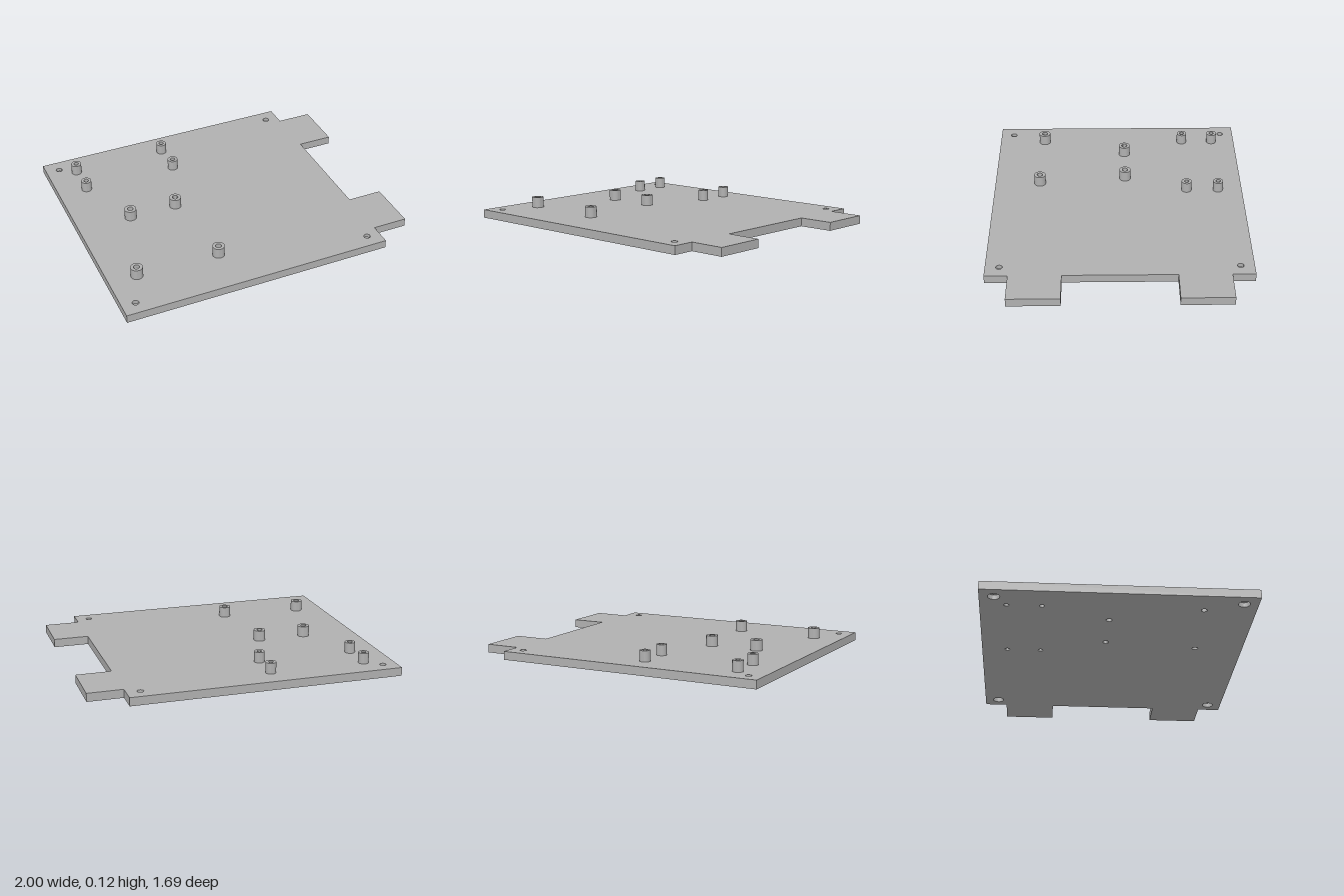
import * as THREE from 'three';
import { toCreasedNormals } from 'three/addons/utils/BufferGeometryUtils.js';

const T = 0.055, TOP = 0.125, SEG = 32;   // plate thickness, standoff top, round segments
const BORE = 0.037, SCREW = 0.021, BORE_DEPTH = 0.03;

// standoffs: x, z, outer radius, hole radius
const standoffs = [
  [-0.806, -0.683, 0.034, 0.016], [-0.806, -0.467, 0.034, 0.016],
  [-0.176, -0.683, 0.034, 0.016], [-0.176, -0.467, 0.034, 0.016],
  [-0.643, -0.048, 0.039, 0.019], [-0.326, -0.048, 0.039, 0.019],
  [-0.814, 0.525, 0.039, 0.019], [-0.269, 0.539, 0.039, 0.019],
];
const corners = [];
for (const x of [-0.91, 0.682]) for (const z of [-0.757, 0.757]) corners.push([x, z]);

export function createModel() {
  const model = new THREE.Group();
  model.name = 'mountingPlate';
  const grey = new THREE.MeshStandardMaterial({ color: 0xb0b0b0 });
  grey.name = 'grey';

  const add = (name, geometry, x = 0, z = 0) => {
    const mesh = new THREE.Mesh(toCreasedNormals(geometry, 0.6), grey);
    mesh.name = name;
    mesh.position.set(x, 0, z);
    model.add(mesh);
  };
  const lathe = (points) =>
    new THREE.LatheGeometry(points.map(([r, y]) => new THREE.Vector2(r, y)), SEG);

  // plate with two tabs on its left edge and all holes cut through
  const outline = [
    [-1, -0.847], [0.77, -0.847], [0.77, -0.7], [1, -0.7], [1, -0.364], [0.77, -0.364],
    [0.77, 0.364], [1, 0.364], [1, 0.7], [0.77, 0.7], [0.77, 0.847], [-1, 0.847],
  ];
  const shape = new THREE.Shape(outline.map(([x, y]) => new THREE.Vector2(x, y)));
  const cut = (x, z, r) =>
    shape.holes.push(new THREE.Path().absarc(x, -z, r, 0, Math.PI * 2, true));
  corners.forEach(([x, z]) => cut(x, z, BORE));
  standoffs.forEach(([x, z, , hole]) => cut(x, z, hole));
  const plate = new THREE.ExtrudeGeometry(shape, { depth: T, bevelEnabled: false, curveSegments: SEG / 2 });
  add('plate', plate.rotateX(-Math.PI / 2));

  // corner screw holes: narrow at the top, counterbored from below
  corners.forEach(([x, z]) => add('screwHole',
    lathe([[BORE, T], [SCREW, T], [SCREW, BORE_DEPTH], [BORE, BORE_DEPTH]]), x, z));

  // hollow standoffs
  standoffs.forEach(([x, z, r, hole]) => add('standoff',
    lathe([[r, T], [r, TOP], [hole, TOP], [hole, T]]), x, z));

  return model;
}
